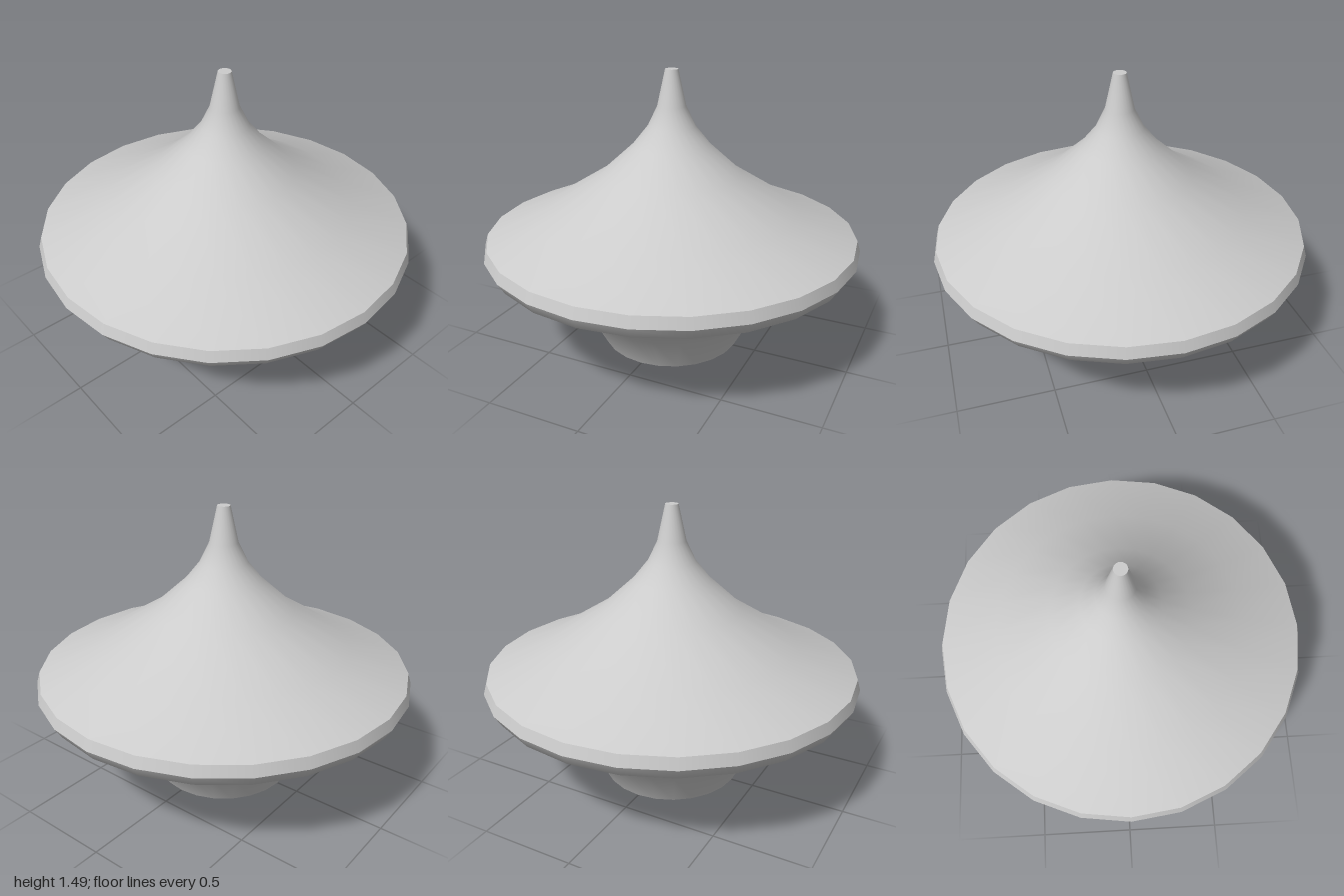
import * as THREE from 'three';

const SIDES = 24;

export function createModel() {
  const group = new THREE.Group();
  const material = new THREE.MeshStandardMaterial({ color: 0xcccccc });

  const add = (name, geometry) => {
    const mesh = new THREE.Mesh(geometry, material);
    mesh.name = name;
    group.add(mesh);
    return mesh;
  };
  // Profiles are [radius, height] pairs running upwards, so faces point outwards
  const turned = (name, profile) =>
    add(name, new THREE.LatheGeometry(profile.map(([r, y]) => new THREE.Vector2(r, y)), SIDES));
  // Flat disc whose corners line up with the turned sections
  const disc = (name, radius, y, facing) => {
    const mesh = add(name, new THREE.CircleGeometry(radius, SIDES));
    mesh.rotation.x = -facing * Math.PI / 2;
    mesh.position.y = y;
  };

  // Flared foot and underside of the body
  turned('lowerBody', [[0.375, 0], [0.475, 0.19], [0.68, 0.375], [0.965, 0.515], [1, 0.573]]);
  // Narrow band around the widest part, with sharp edges
  turned('rim', [[1, 0.573], [0.983, 0.63]]);
  // Concave upper body drawn up into a slim stem
  turned('upperBody', [
    [0.983, 0.63], [0.67, 0.763], [0.37, 0.95], [0.205, 1.1],
    [0.125, 1.2], [0.075, 1.305], [0.034, 1.493],
  ]);

  disc('baseCap', 0.375, 0, -1);
  disc('stemCap', 0.034, 1.493, 1);

  return group;
}
